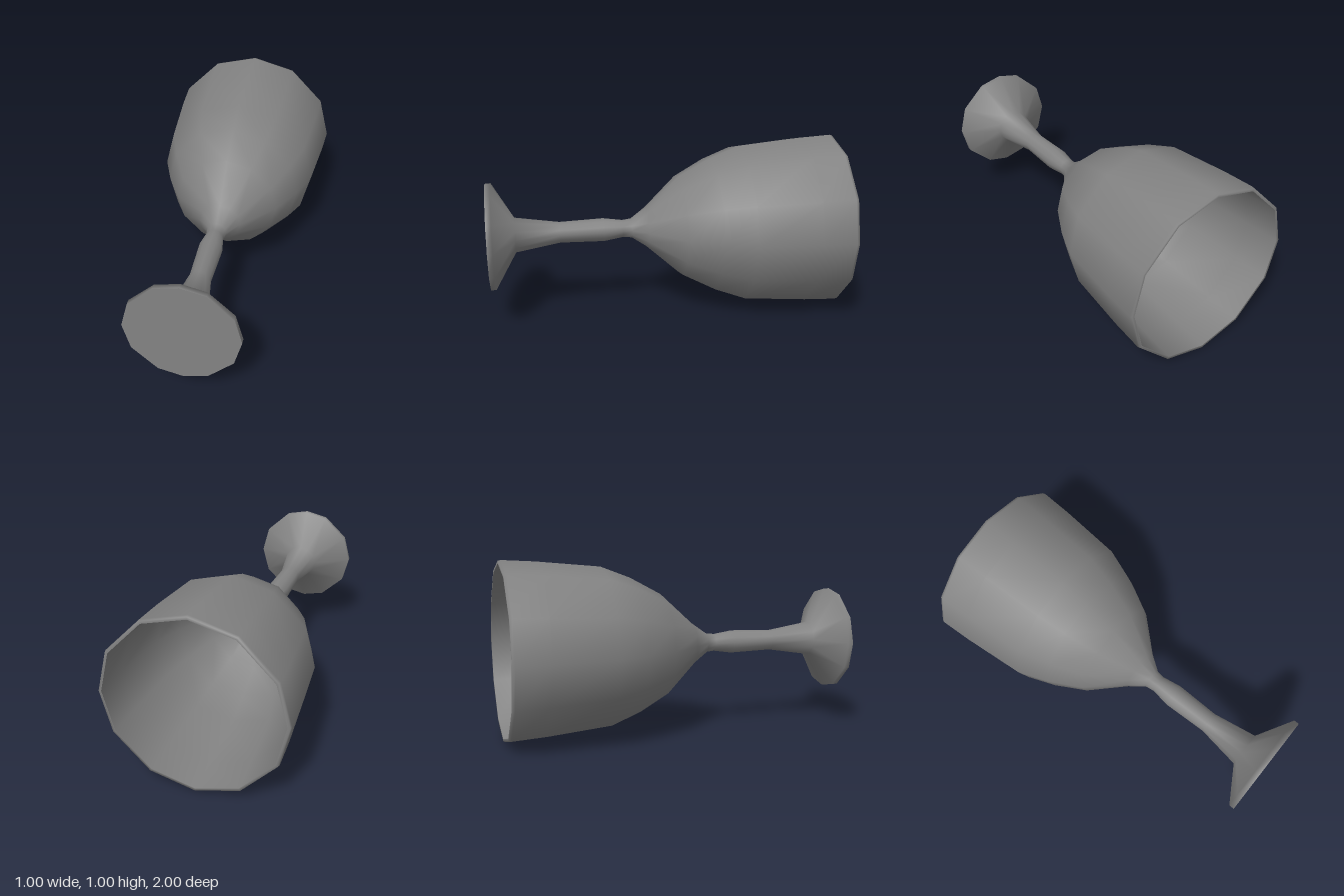
import * as THREE from 'three';
import { mergeVertices } from 'three/addons/utils/BufferGeometryUtils.js';

const SIDES = 12;
// Corner angles (degrees) in one quarter turn; the other quarters mirror them
const FOOT_ANGLES = [0, 25.5, 60.5, 90];
const BOWL_ANGLES = [0, 29.5, 62, 90];

// Angle of corner i, mirrored up/down and left/right
function cornerAngle(i, angles) {
  const half = i % 6;
  const degrees = half <= 3 ? angles[half] : 180 - angles[6 - half];
  return THREE.MathUtils.degToRad(degrees + (i % SIDES >= 6 ? 180 : 0));
}

export function createModel() {
  const group = new THREE.Group();
  group.name = 'goblet';
  const material = new THREE.MeshStandardMaterial({ color: 0x828282 });

  // Turns a [radius, height] profile into a smooth 12-sided surface lying along z
  const turn = (name, profile) => {
    const points = profile.map(([r, h]) => new THREE.Vector2(r, h));
    const lathe = new THREE.LatheGeometry(points, SIDES);
    const position = lathe.attributes.position;
    for (let v = 0; v < position.count; v++) {
      const [r, h] = profile[v % profile.length];
      const angles = h < -0.9 ? FOOT_ANGLES : BOWL_ANGLES;
      const a = cornerAngle(Math.floor(v / profile.length), angles);
      position.setXYZ(v, r * Math.sin(a), h, r * Math.cos(a));
    }
    // Weld the seam so the shading runs all the way round
    lathe.deleteAttribute('uv');
    lathe.deleteAttribute('normal');
    const geometry = mergeVertices(lathe);
    geometry.computeVertexNormals();
    geometry.rotateX(-Math.PI / 2); // the foot faces +z, the mouth faces -z
    geometry.translate(0, 0.5, 0);
    const mesh = new THREE.Mesh(geometry, material);
    mesh.name = name;
    group.add(mesh);
  };

  // Separate profiles keep the edges between them sharp
  turn('footUnderside', [[0, -1], [0.302, -1]]);

  // Foot edge and slope, stem, outside of the bowl and rounded lip
  turn('stemAndBowl', [
    [0.302, -1], [0.302, -0.97], [0.1, -0.85], [0.06, -0.6], [0.067, -0.35],
    [0.05, -0.24], [0.056, -0.19], [0.12, -0.1], [0.295, 0.09],
    [0.392, 0.27], [0.457, 0.44], [0.49, 0.8], [0.5, 0.985],
    [0.496, 1], [0.482, 1],
  ]);

  // Hollow inside of the bowl
  turn('bowlInside', [
    [0.482, 1], [0.47, 0.8], [0.436, 0.45], [0.372, 0.29],
    [0.275, 0.11], [0.1, -0.07], [0, -0.12],
  ]);

  return group;
}
